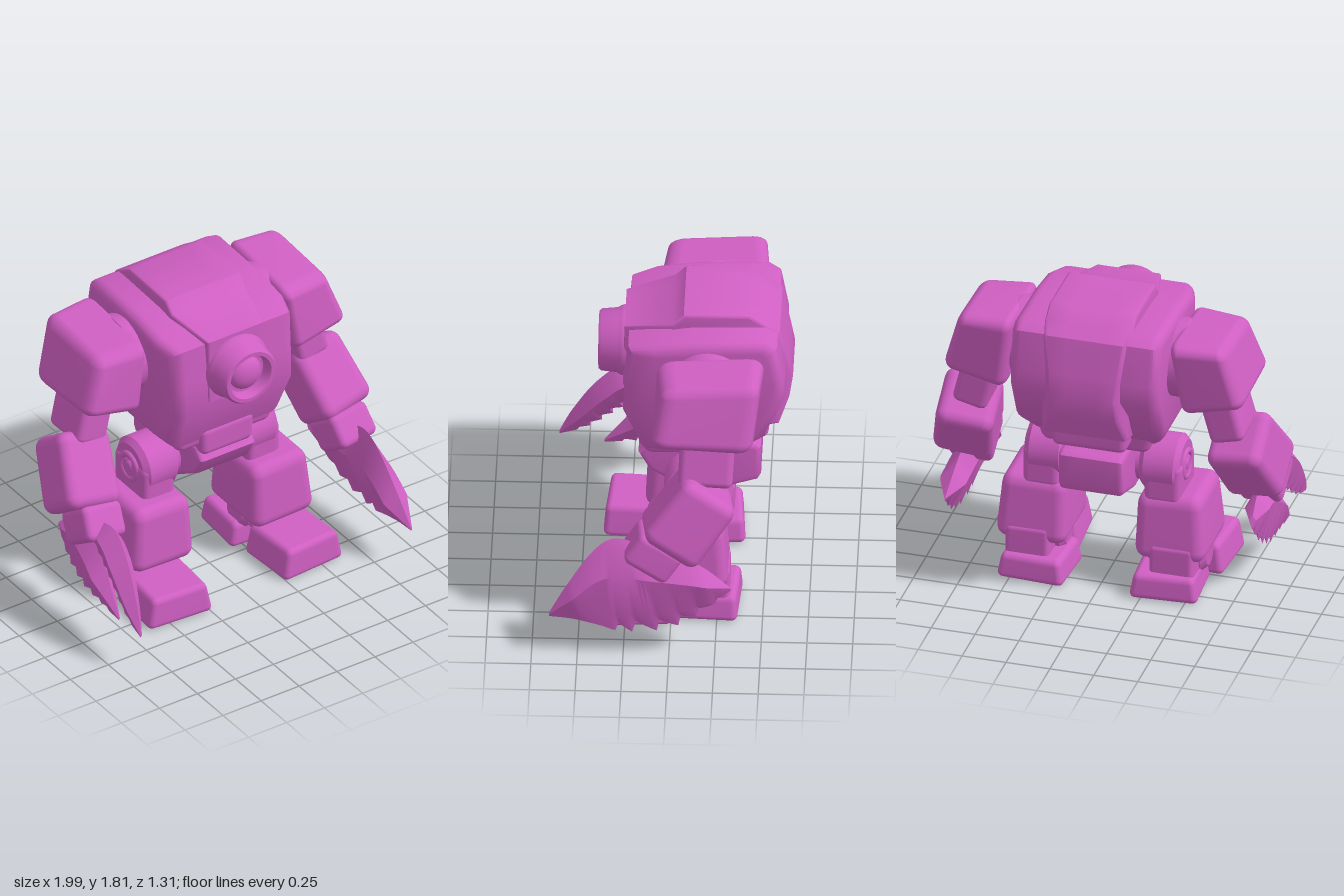
import * as THREE from 'three';
import { RoundedBoxGeometry } from 'three/addons/geometries/RoundedBoxGeometry.js';
import { mergeVertices, toCreasedNormals } from 'three/addons/utils/BufferGeometryUtils.js';

const pink = new THREE.MeshStandardMaterial({ color: 0xcf5fc2 });
pink.name = 'orchid pink';

const { lerp, clamp } = THREE.MathUtils;

function deform(geo, rule) {
  const p = geo.attributes.position;
  const v = new THREE.Vector3();
  for (let i = 0; i < p.count; i++) {
    v.fromBufferAttribute(p, i);
    rule(v);
    p.setXYZ(i, v.x, v.y, v.z);
  }
  return geo;
}

export function createModel() {
  const model = new THREE.Group();
  model.name = 'robot';

  function add(name, geo, pos = [0, 0, 0], rot = [0, 0, 0]) {
    const mesh = new THREE.Mesh(geo, pink);
    mesh.name = name;
    mesh.position.set(...pos);
    mesh.rotation.set(...rot);
    model.add(mesh);
  }

  // Rounded box reshaped by a rule, with smooth normals
  function shapedBox(w, h, d, r, rule) {
    let g = deform(new RoundedBoxGeometry(w, h, d, 3, r), rule);
    g.deleteAttribute('normal');
    g.deleteAttribute('uv');
    g = mergeVertices(g, 1e-5);
    g.computeVertexNormals();
    return g;
  }

  // Soft box whose top is scaled to tx, tz relative to its bottom
  function softBox(w, h, d, r = 0.04, tx = 1, tz = 1) {
    return shapedBox(w, h, d, r, (v) => {
      const k = v.y / h + 0.5;
      v.x *= 1 + (tx - 1) * k;
      v.z *= 1 + (tz - 1) * k;
    });
  }

  // Side profile of [z, y] points, extruded across x with bevelled edges
  function sideProfile(points, width, bevel, rule) {
    const shape = new THREE.Shape(points.map(([z, y]) => new THREE.Vector2(z, y)));
    const g = new THREE.ExtrudeGeometry(shape, {
      depth: width - 2 * bevel, bevelSize: bevel, bevelThickness: bevel,
      bevelOffset: -bevel, bevelSegments: 4, steps: 4,
    });
    g.translate(0, 0, -width / 2 + bevel);
    g.rotateY(-Math.PI / 2);
    return toCreasedNormals(deform(g, rule), 0.7);
  }

  // Cylinder across x with bevelled rims
  function hub(r, len, bevel = 0.02) {
    const h = len / 2;
    const pts = [[0, -h], [r - bevel, -h], [r, -h + bevel], [r, h - bevel], [r - bevel, h], [0, h]];
    const g = new THREE.LatheGeometry(pts.map(([a, b]) => new THREE.Vector2(a, b)), 32);
    g.rotateZ(Math.PI / 2);
    return toCreasedNormals(g, 0.5);
  }

  // Ridged blade between two [z, y] edges; teeth are cut into the lower edge
  function blade(top, bottom, thick, toothEnd) {
    const curve = (pts) => new THREE.SplineCurve(pts.map(([z, y]) => new THREE.Vector2(z, y)));
    const a = curve(top), b = curve(bottom), n = 48, pos = [], rings = [];
    for (let i = 0; i <= n; i++) {
      const t = i / n, p = a.getPoint(t), q = b.getPoint(t);
      const x = thick * Math.min(1, p.distanceTo(q) / 0.25);
      const m = p.clone().lerp(q, 0.35), e = p.clone().lerp(q, 0.8);
      if (t < toothEnd) q.lerp(e, 0.75 * (i % 5) / 5);
      rings.push([[0, p.y, p.x], [x, m.y, m.x], [x * 0.3, e.y, e.x],
        [0, q.y, q.x], [-x * 0.3, e.y, e.x], [-x, m.y, m.x]]);
    }
    for (let i = 0; i < n; i++) {
      for (let j = 0; j < 6; j++) {
        const k = (j + 1) % 6, r = rings[i], s = rings[i + 1];
        pos.push(...r[j], ...s[j], ...r[k], ...r[k], ...s[j], ...s[k]);
      }
    }
    for (let j = 1; j < 5; j++) {
      pos.push(...rings[0][0], ...rings[0][j], ...rings[0][j + 1]);
      pos.push(...rings[n][0], ...rings[n][j + 1], ...rings[n][j]);
    }
    const g = new THREE.BufferGeometry();
    g.setAttribute('position', new THREE.Float32BufferAttribute(pos, 3));
    return toCreasedNormals(g, 0.6);
  }

  // Torso, narrowing at the front and underside
  add('torso', sideProfile([
    [0.24, 1.67], [0.26, 1.45], [0.27, 1.25], [0.16, 0.985], [0.02, 0.985], [-0.36, 0.985], [-0.5, 1.11],
    [-0.615, 1.36], [-0.615, 1.48], [-0.575, 1.7], [-0.51, 1.745], [-0.1, 1.735], [0.1, 1.705],
  ], 0.85, 0.06, (v) => {
    v.x *= 1 - 0.12 * Math.max(0, (1.13 - v.y) / 0.13);
    v.x *= 1 - 0.1 * clamp((v.z - 0.1) / 0.15, 0, 1);
  }));

  // Raised centre panel running over the head and down the back
  add('hood', sideProfile([
    [0.275, 1.3], [0.265, 1.69], [0.0, 1.75], [-0.06, 1.81], [-0.42, 1.815], [-0.51, 1.755],
    [-0.585, 1.7], [-0.63, 1.5], [-0.655, 1.38], [-0.635, 1.25], [-0.58, 1.1], [-0.45, 1.08], [-0.2, 1.3],
  ], 0.5, 0.018, (v) => {
    v.x *= 1 - 0.25 * clamp(v.z / 0.25, 0, 1);
    v.x *= 1 - 0.25 * clamp((-0.56 - v.z) / 0.09, 0, 1);
  }));

  // Eye housing and lens
  const ring = [[0, 0.345], [0.12, 0.35], [0.125, 0.395], [0.135, 0.41], [0.158, 0.41], [0.17, 0.395],
    [0.178, 0.31], [0.19, 0.29], [0.195, 0.27], [0.19, 0.18]];
  const ringGeo = new THREE.LatheGeometry(ring.map(([r, z]) => new THREE.Vector2(r, -z)), 48);
  ringGeo.rotateX(-Math.PI / 2);
  add('eyeHousing', toCreasedNormals(ringGeo, 0.6), [0, 1.475, 0]);
  const lens = new THREE.SphereGeometry(0.1, 32, 20);
  lens.scale(1, 1, 0.6);
  add('eyeLens', lens, [0, 1.475, 0.345]);

  // Belly, waist and pelvis
  add('belly', softBox(0.6, 0.17, 0.54, 0.04, 1.16, 1.1), [0, 1.01, -0.12]);
  add('waist', softBox(0.34, 0.18, 0.42, 0.04, 1.05, 1), [0, 0.965, -0.02]);
  add('backBelt', softBox(0.42, 0.15, 0.4, 0.04, 1.05, 1.04), [0, 1.05, -0.32]);
  add('pelvis', sideProfile([
    [0.13, 0.92], [0.19, 0.85], [0.13, 0.74], [-0.06, 0.62], [-0.22, 0.61],
    [-0.46, 0.685], [-0.48, 0.72], [-0.48, 0.9], [-0.45, 0.92],
  ], 0.37, 0.03, () => {}));

  for (const s of [1, -1]) {
    const side = s > 0 ? 'left' : 'right';
    const part = (name, geo, [x, y, z], [rx, ry, rz] = [0, 0, 0]) =>
      add(side + name, geo, [x * s, y, z], [rx, ry * s, rz * s]);

    // Shoulder pad: upright inner face, outer face and underside sloping outward
    const pad = shapedBox(1, 1, 1, 0.16, (v) => {
      const u = v.x * s + 0.5, k = v.y + 0.5, w = v.z + 0.5;
      v.x = s * lerp(lerp(0.5, 0.44, k), lerp(0.865, 0.755, k), u);
      v.y = lerp(1.215 + 0.09 * u + 0.03 * w, 1.7 - 0.015 * u - 0.035 * w, k);
      v.z = lerp(lerp(-0.45, -0.52 + 0.03 * u, k), lerp(0.1, 0.08 - 0.04 * u, k), w);
    });
    add(side + 'ShoulderPad', pad);

    // Arm
    part('ShoulderJoint', hub(0.22, 0.12), [0.44, 1.465, -0.2]);
    part('UpperArm', softBox(0.2, 0.28, 0.3, 0.04), [0.705, 1.18, -0.2], [-0.05, 0, 0.25]);
    part('Forearm', softBox(0.34, 0.43, 0.36, 0.065, 0.95, 0.95), [0.8, 0.868, -0.105], [-0.63, 0, 0.19]);
    part('Wrist', softBox(0.25, 0.2, 0.28, 0.04), [0.82, 0.645, 0.09], [-0.6, 0, 0.12]);

    // Leg
    part('HipJoint', hub(0.12, 0.16), [0.21, 0.75, -0.12]);
    part('HipDrum', hub(0.165, 0.23, 0.03), [0.325, 0.75, -0.12]);
    part('Thigh', softBox(0.21, 0.24, 0.31, 0.04), [0.345, 0.68, -0.12]);
    const hipRim = new THREE.TorusGeometry(0.075, 0.018, 12, 32);
    hipRim.rotateY(Math.PI / 2);
    part('HipRim', hipRim, [0.44, 0.75, -0.12]);
    part('HipBolt', hub(0.035, 0.04, 0.01), [0.435, 0.75, -0.12]);
    part('Shin', softBox(0.41, 0.39, 0.49, 0.07, 0.88, 0.85), [0.39, 0.415, -0.075], [0, 0, 0.03]);
    part('Ankle', softBox(0.25, 0.22, 0.31, 0.03), [0.41, 0.21, -0.165]);
    part('AnklePivot', hub(0.1, 0.34, 0.03), [0.4, 0.2, -0.1]);
    part('Toe', softBox(0.41, 0.185, 0.38, 0.035, 0.83, 0.93), [0.425, 0.097, 0.195], [0, 0.07, 0]);
    part('Heel', softBox(0.39, 0.15, 0.355, 0.035, 0.86, 0.93), [0.37, 0.08, -0.198], [0, -0.06, 0]);
  }

  // Closed left claw
  add('leftClaw', blade(
    [[-0.33, 0.45], [-0.18, 0.57], [0, 0.65], [0.15, 0.7], [0.3, 0.735], [0.42, 0.65], [0.56, 0.44], [0.655, 0.27]],
    [[-0.34, 0.43], [-0.21, 0.31], [-0.08, 0.22], [0.08, 0.17], [0.26, 0.165], [0.38, 0.2], [0.52, 0.235], [0.655, 0.25]],
    0.075, 0.6), [0.92, 0, 0], [0, 0, 0.12]);

  // Open right claw with two jaws
  add('rightFrontJaw', blade(
    [[0.08, 0.68], [0.3, 0.735], [0.45, 0.62], [0.58, 0.42], [0.655, 0.26]],
    [[0.08, 0.6], [0.22, 0.5], [0.35, 0.4], [0.5, 0.29], [0.655, 0.235]],
    0.075, 0.85), [-0.92, 0, 0], [0, 0, -0.12]);
  add('rightRearJaw', blade(
    [[-0.18, 0.52], [0.0, 0.63], [0.15, 0.57], [0.29, 0.38], [0.41, 0.22]],
    [[-0.22, 0.46], [-0.11, 0.32], [0.05, 0.23], [0.25, 0.21], [0.41, 0.2]],
    0.07, 0.85), [-0.89, 0, 0], [0, 0, -0.1]);

  return model;
}
